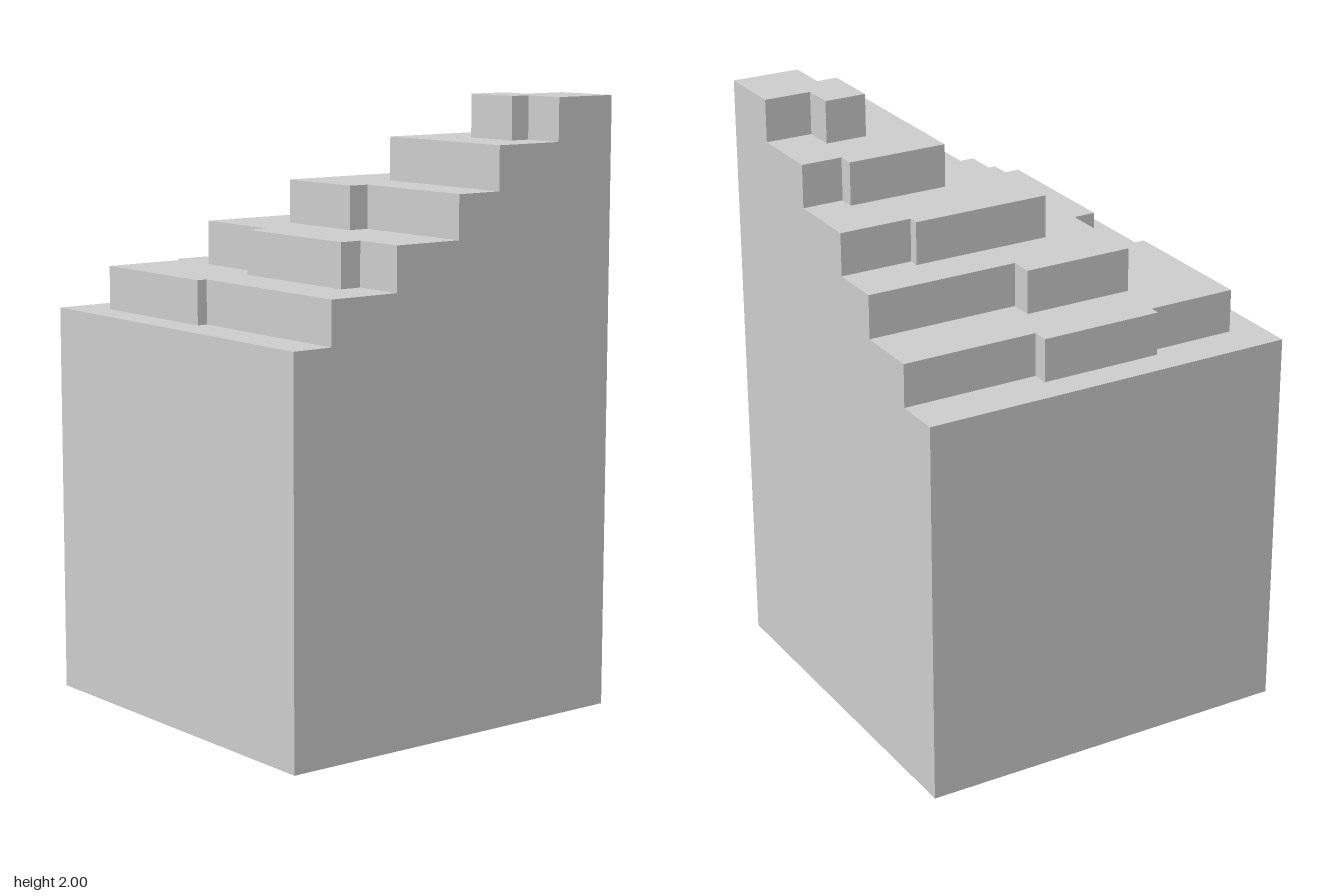
import * as THREE from 'three';

const H = 0.637; // half width of the square footprint

// Terrace outlines in [x, z], from the back edge round to the left (+x) edge
const terraces = [
  { name: 'baseBlock', bottom: 0, top: 1.29, edge: [[-H, -H], [-H, H], [H, H]] },
  { name: 'terrace1', bottom: 1.29, top: 1.433,
    edge: [[-0.48, -H], [-0.48, -0.18], [-0.535, -0.18], [-0.535, 0.23], [-0.5, 0.23],
      [-0.5, 0.53], [0, 0.53], [0, 0.495], [H, 0.495]] },
  { name: 'terrace2', bottom: 1.433, top: 1.577,
    edge: [[-0.265, -H], [-0.265, -0.125], [-0.34, -0.125], [-0.34, 0.245], [-0.02, 0.245],
      [-0.02, 0.32], [0.46, 0.32], [0.46, 0.245], [H, 0.245]] },
  { name: 'terrace3', bottom: 1.577, top: 1.718,
    edge: [[-0.09, -H], [-0.09, -0.395], [-0.125, -0.395], [-0.125, 0.07], [0.19, 0.07],
      [0.19, 0], [H, 0]] },
  { name: 'terrace4', bottom: 1.718, top: 1.86,
    edge: [[0.16, -H], [0.16, -0.5], [0.105, -0.5], [0.105, -0.163], [H, -0.163]] },
  { name: 'summit', bottom: 1.86, top: 2,
    edge: [[0.407, -H], [0.407, -0.48], [0.3, -0.48], [0.3, -0.34], [0.495, -0.34],
      [0.495, -0.41], [H, -0.41]] },
];

export function createModel() {
  const group = new THREE.Group();
  group.name = 'steppedHill';
  const material = new THREE.MeshStandardMaterial({ color: 0xcccccc, flatShading: true });

  for (const { name, bottom, top, edge } of terraces) {
    // Close each outline at the shared back corner, then extrude it upwards
    const points = [...edge, [H, -H]].map(([x, z]) => new THREE.Vector2(x, -z));
    const geometry = new THREE.ExtrudeGeometry(new THREE.Shape(points), {
      depth: top - bottom,
      bevelEnabled: false,
    });
    geometry.rotateX(-Math.PI / 2);
    const mesh = new THREE.Mesh(geometry, material);
    mesh.name = name;
    mesh.position.y = bottom;
    group.add(mesh);
  }
  return group;
}
